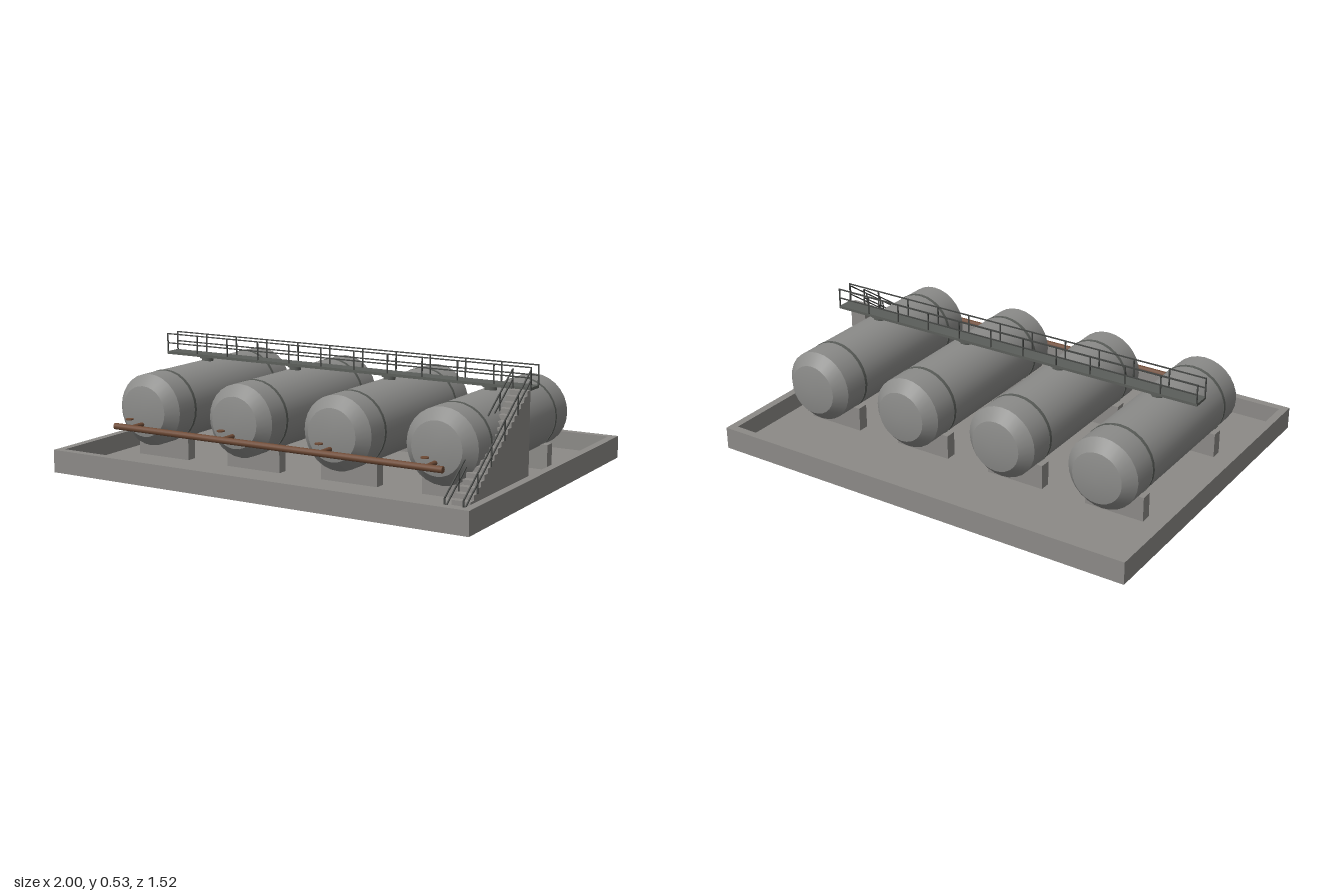
import * as THREE from 'three';
import { toCreasedNormals } from 'three/addons/utils/BufferGeometryUtils.js';

const mat = (name, color) => Object.assign(new THREE.MeshStandardMaterial({ color }), { name });

export function createModel() {
  const concrete = mat('concrete', 0x8c8a87);
  const tankGrey = mat('tank steel', 0x8b8b89);
  const deckGrey = mat('walkway steel', 0x5b5e5a);
  const railGrey = mat('rail steel', 0x454745);
  const rust = mat('pipe brown', 0x6e4a35);

  const model = new THREE.Group();
  model.name = 'tankFarm';

  const add = (parent, name, geo, material, x = 0, y = 0, z = 0) => {
    const mesh = new THREE.Mesh(geo, material);
    mesh.name = name;
    mesh.position.set(x, y, z);
    parent.add(mesh);
    return mesh;
  };
  const box = (parent, name, m, w, h, d, x, y, z) =>
    add(parent, name, new THREE.BoxGeometry(w, h, d), m, x, y, z);
  const group = (name) => {
    const g = new THREE.Group();
    g.name = name;
    model.add(g);
    return g;
  };
  // Square bar between two points
  const bar = (parent, name, a, b, t = 0.005) => {
    const p = new THREE.Vector3(...a), q = new THREE.Vector3(...b);
    const mesh = box(parent, name, railGrey, t, t, p.distanceTo(q), 0, 0, 0);
    mesh.position.copy(p).add(q).multiplyScalar(0.5);
    mesh.lookAt(q);
  };

  // Containment basin: floor slab and four walls
  const FLOOR = 0.02, HX = 1, HZ = 0.76, WALL = 0.035, WALL_TOP = 0.1;
  const basin = group('basin');
  box(basin, 'floorSlab', concrete, 2 * HX, FLOOR, 2 * HZ, 0, FLOOR / 2, 0);
  const wallH = WALL_TOP - FLOOR, wallY = (WALL_TOP + FLOOR) / 2;
  for (const s of [-1, 1]) {
    box(basin, 'longWall', concrete, 2 * HX, wallH, WALL, 0, wallY, s * (HZ - WALL / 2));
    box(basin, 'sideWall', concrete, WALL, wallH, 2 * (HZ - WALL), s * (HX - WALL / 2), wallY, 0);
  }

  // Tanks with bevelled dished ends, bands, saddles and a top nozzle
  const R = 0.16, HALF = 0.44, DISH = 0.07, TANK_Y = 0.25;
  const profile = [
    [0, -HALF - DISH], [R * 0.707, -HALF - DISH * 0.707], [R, -HALF],
    [R, HALF], [R * 0.707, HALF + DISH * 0.707], [0, HALF + DISH],
  ].map(([r, y]) => new THREE.Vector2(r, y));
  const shell = toCreasedNormals(
    new THREE.LatheGeometry(profile, 28).rotateX(Math.PI / 2), 0.45);
  const band = new THREE.CylinderGeometry(R + 0.002, R + 0.002, 0.015, 28).rotateX(Math.PI / 2);
  const PIPE_Y = 0.195, PIPE_Z = 0.583;

  for (const x of [-0.72, -0.24, 0.24, 0.72]) {
    const tank = group('tank');
    tank.position.x = x;
    add(tank, 'shell', shell, tankGrey, 0, TANK_Y, -0.005);
    for (const z of [-0.32, 0.32]) {
      add(tank, 'band', band, deckGrey, 0, TANK_Y, z);
      box(tank, 'saddle', concrete, 0.27, 0.13 - FLOOR, 0.05, 0, (0.13 + FLOOR) / 2, z);
    }
    add(tank, 'nozzle', new THREE.CylinderGeometry(0.026, 0.026, 0.04, 16), deckGrey, 0, 0.41, 0);
    add(tank, 'nozzleFlange', new THREE.CylinderGeometry(0.035, 0.035, 0.01, 16), deckGrey, 0, 0.425, 0);

    // Outlet branch and valve handwheel
    add(tank, 'outletPipe', new THREE.CylinderGeometry(0.01, 0.01, 0.11, 12).rotateX(Math.PI / 2),
      rust, 0, PIPE_Y, PIPE_Z - 0.055);
    add(tank, 'valveWheel', new THREE.CylinderGeometry(0.017, 0.017, 0.005, 12), rust, 0, 0.234, PIPE_Z);
  }

  // Header pipe along the front
  add(model, 'headerPipe', new THREE.CylinderGeometry(0.014, 0.014, 1.6, 14).rotateZ(Math.PI / 2),
    rust, 0, PIPE_Y, PIPE_Z);

  // Walkway over the tanks with railings on both sides
  const DECK_Y = 0.44, DECK_X = 0.92, DECK_Z = 0.04, BAYS = 11;
  const walkway = group('walkway');
  box(walkway, 'deck', deckGrey, 2 * DECK_X, 0.012, 2 * DECK_Z, 0, DECK_Y - 0.006, 0);
  for (const z of [-DECK_Z + 0.002, DECK_Z - 0.002]) {
    for (const y of [0.48, 0.523]) bar(walkway, 'handrail', [-DECK_X, y, z], [DECK_X, y, z]);
    for (let i = 0; i <= BAYS; i++) {
      const x = -DECK_X + 0.0025 + (i * (2 * DECK_X - 0.005)) / BAYS;
      box(walkway, 'railPost', railGrey, 0.005, 0.525 - DECK_Y, 0.005, x, (0.525 + DECK_Y) / 2, z);
    }
  }

  // Solid staircase, extruded from its stepped side outline
  const STEPS = 20, Z0 = 0.042, RUN = 0.03, TOP = 0.43, RISE = (TOP - FLOOR) / STEPS;
  const X0 = 0.838, X1 = 0.918;
  const outline = new THREE.Shape();
  outline.moveTo(Z0, FLOOR);
  for (let i = 0; i < STEPS; i++) {
    outline.lineTo(Z0 + i * RUN, TOP - i * RISE);
    outline.lineTo(Z0 + (i + 1) * RUN, TOP - i * RISE);
  }
  outline.lineTo(Z0 + STEPS * RUN, FLOOR);
  const stairs = group('stairs');
  add(stairs, 'steps',
    new THREE.ExtrudeGeometry(outline, { depth: X1 - X0, bevelEnabled: false }).rotateY(-Math.PI / 2),
    concrete, X1, 0, 0);

  // Sloping stair rails
  const Z1 = Z0 + STEPS * RUN, drop = TOP - FLOOR;
  for (const x of [X0, X1]) {
    for (const h of [0.04, 0.082]) {
      bar(stairs, 'stairRail', [x, TOP + h, Z0], [x, FLOOR + h, Z1]);
    }
    for (let i = 0; i <= 5; i++) {
      const y = TOP - (drop * i) / 5;
      box(stairs, 'stairPost', railGrey, 0.005, 0.082, 0.005, x, y + 0.041, Z0 + ((Z1 - Z0) * i) / 5);
    }
  }
  return model;
}
